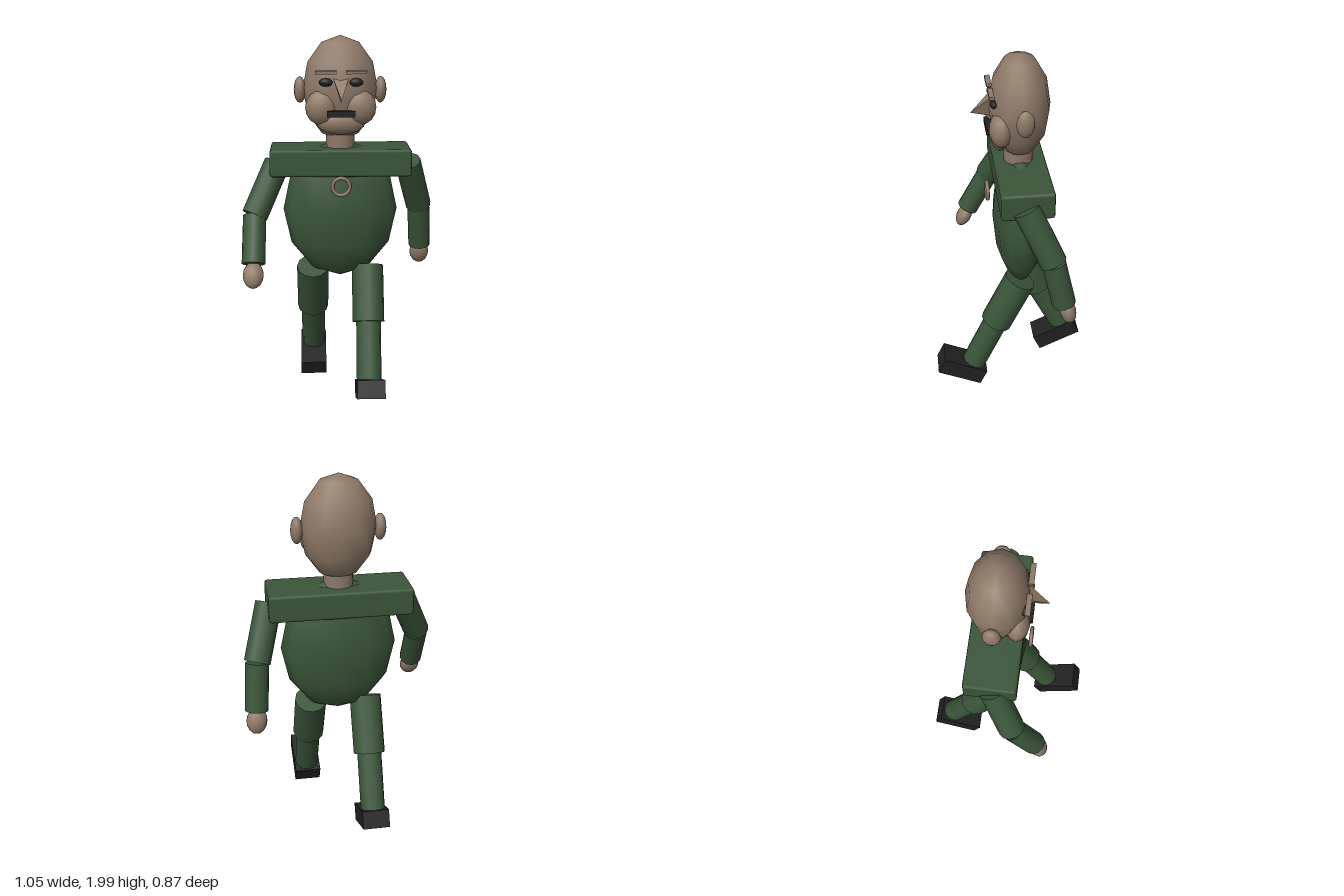
import * as THREE from 'three';
import { RoundedBoxGeometry } from 'three/addons/geometries/RoundedBoxGeometry.js';

const mat = (name, color) => {
  const m = new THREE.MeshStandardMaterial({ color });
  m.name = name;
  return m;
};

export function createModel() {
  const skin = mat('skin', 0x8f7a68);
  const green = mat('green cloth', 0x3a5539);
  const black = mat('black', 0x212121);
  const model = new THREE.Group();
  model.name = 'walkingMan';
  const V = (a) => new THREE.Vector3(...a);

  const add = (name, geometry, material, pos, parent = model) => {
    const m = new THREE.Mesh(geometry, material);
    m.name = name;
    m.position.set(...pos);
    parent.add(m);
    return m;
  };
  // Stretched sphere
  const blob = (name, material, pos, radii, parent, w = 12, h = 8) => {
    const m = add(name, new THREE.SphereGeometry(1, w, h), material, pos, parent);
    m.scale.set(...radii);
    return m;
  };
  const box = (name, material, pos, size, parent) =>
    add(name, new THREE.BoxGeometry(...size), material, pos, parent);
  // Cylinder between two points
  const limb = (name, material, a, b, r, parent) => {
    const top = V(a), dir = top.clone().sub(V(b));
    const mid = V(a).add(V(b)).multiplyScalar(0.5).toArray();
    const m = add(name, new THREE.CylinderGeometry(r, r, dir.length(), 12), material, mid, parent);
    m.quaternion.setFromUnitVectors(new THREE.Vector3(0, 1, 0), dir.normalize());
    return m;
  };
  const group = (name) => {
    const g = new THREE.Group();
    g.name = name;
    model.add(g);
    return g;
  };

  // Body
  blob('torso', green, [0, 1.07, -0.047], [0.31, 0.385, 0.14], model, 12, 6);
  add('shoulders', new RoundedBoxGeometry(0.75, 0.144, 0.27, 1, 0.014), green, [0, 1.344, -0.05]);
  add('medallion', new THREE.TorusGeometry(0.046, 0.01, 8, 16), skin, [0, 1.23, 0.12]);
  add('neck', new THREE.CylinderGeometry(0.077, 0.077, 0.16, 12), skin, [0, 1.45, -0.045]);

  // Head and face
  const head = group('head');
  blob('skull', skin, [0, 1.725, -0.048], [0.198, 0.275, 0.157], head, 12, 6);
  blob('chin', skin, [0, 1.56, 0.055], [0.13, 0.065, 0.05], head);
  for (const s of [-1, 1]) {
    blob('cheek', skin, [s * 0.1, 1.637, 0.055], [0.085, 0.092, 0.06], head);
    blob('ear', skin, [s * 0.213, 1.717, -0.053], [0.032, 0.07, 0.046], head);
    blob('eye', black, [s * 0.077, 1.77, 0.088], [0.036, 0.022, 0.02], head);
    box('eyebrow', skin, [s * 0.078, 1.822, 0.101], [0.108, 0.016, 0.026], head);
  }
  box('moustache', black, [0, 1.611, 0.1], [0.146, 0.032, 0.05], head);

  // Nose: three-sided pyramid with the flat face on top
  const tip = [0, 1.69, 0.198], l = [0.042, 1.795, 0.085], r = [-0.042, 1.795, 0.085], low = [0, 1.665, 0.085];
  const noseGeo = new THREE.BufferGeometry();
  noseGeo.setAttribute('position', new THREE.Float32BufferAttribute(
    [r, tip, l, l, tip, low, low, tip, r, l, low, r].flat(), 3));
  noseGeo.computeVertexNormals();
  add('nose', noseGeo, skin, [0, 0, 0], head);

  // Arms: shoulder, elbow, wrist, hand centre
  const arms = [
    ['leftArm', [0.365, 1.33, -0.04], [0.445, 1.055, -0.17], [0.463, 0.805, -0.228], [0.465, 0.755, -0.25]],
    ['rightArm', [-0.34, 1.325, -0.04], [-0.46, 1.065, 0.075], [-0.465, 0.835, 0.2], [-0.466, 0.78, 0.222]],
  ];
  for (const [name, shoulder, elbow, wrist, palm] of arms) {
    const g = group(name);
    limb('upperArm', green, shoulder, elbow, 0.07, g);
    const lower = limb('forearm', green, elbow, wrist, 0.062, g);
    const hand = blob('hand', skin, palm, [0.055, 0.072, 0.043], g);
    hand.quaternion.copy(lower.quaternion);
  }

  // Legs: hip, knee, ankle, foot centre, foot pitch
  const legs = [
    ['leftLeg', [0.152, 0.74, -0.04], [0.152, 0.457, 0.095], [0.15, 0.17, 0.225], [0.15, 0.15, 0.296], -1],
    ['rightLeg', [-0.153, 0.74, -0.04], [-0.153, 0.453, -0.185], [-0.15, 0.16, -0.332], [-0.152, 0.108, -0.296], 1],
  ];
  for (const [name, hip, knee, ankle, sole, pitch] of legs) {
    const g = group(name);
    limb('thigh', green, hip, knee, 0.0875, g);
    limb('shin', green, knee, ankle, 0.068, g);
    box('shoe', black, sole, [0.148, 0.097, 0.263], g).rotation.x = pitch * 0.436;
  }
  return model;
}
